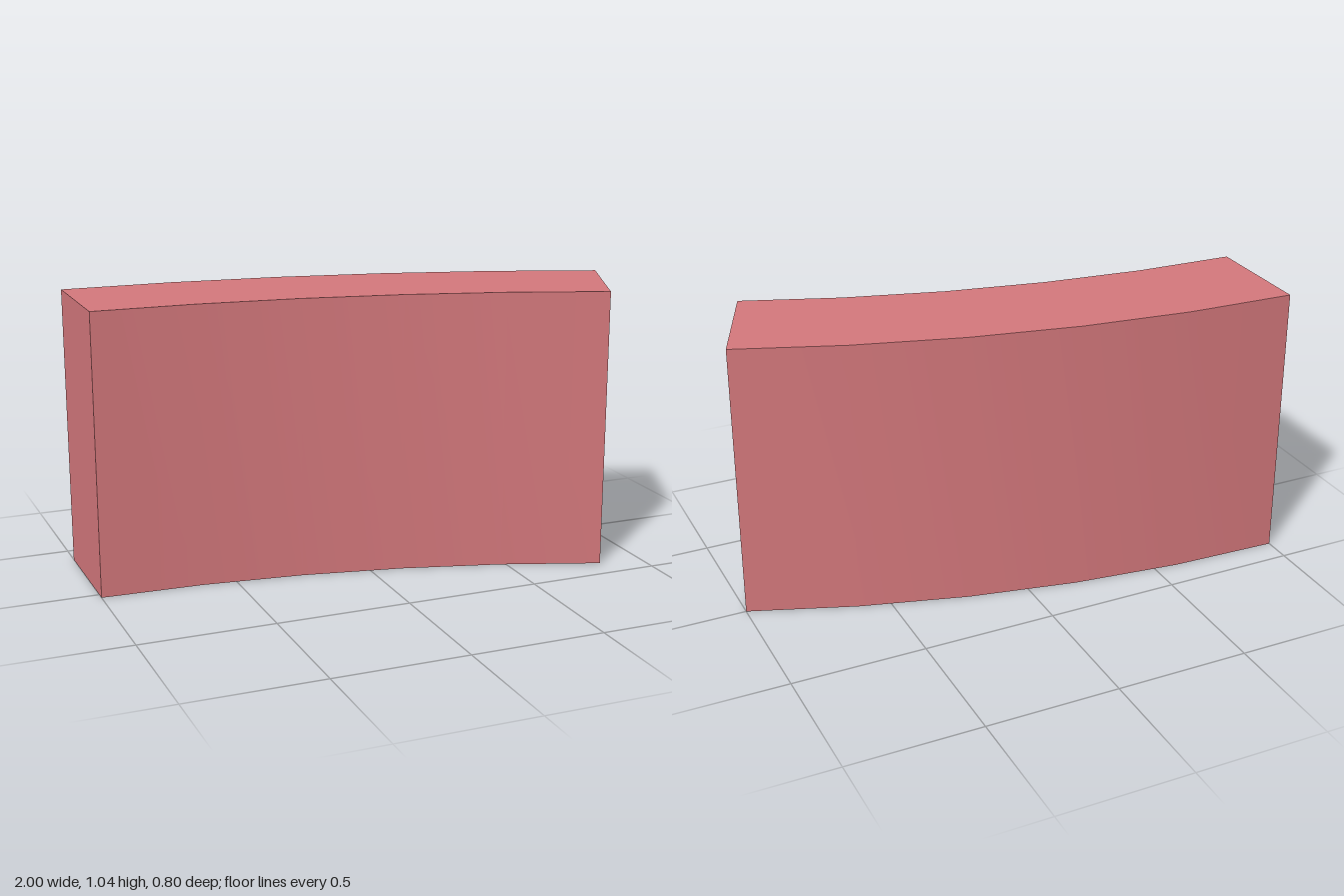
import * as THREE from 'three';
import { toCreasedNormals } from 'three/addons/utils/BufferGeometryUtils.js';

const SWEEP = Math.PI / 8; // a sixteenth of a full ring
const SEGMENTS = 5;
const OUTER = 2 / Math.sin(SWEEP);
const INNER = 4.795;
const HEIGHT = 1.045;
const CENTRE_Z = OUTER * (1 + Math.cos(SWEEP)) / 2 - 0.2 + 0.0011; // ring centre behind the concave face

export function createModel() {
  const group = new THREE.Group();
  group.name = 'curvedBlock';

  // Plan outline: outer arc one way, inner arc back (shape y is -z)
  const points = [];
  const addPoint = (radius, i) => {
    const a = (SWEEP * i) / SEGMENTS;
    points.push(new THREE.Vector2(-1 + radius * Math.sin(a), radius * Math.cos(a) - CENTRE_Z));
  };
  for (let i = 0; i <= SEGMENTS; i++) addPoint(OUTER, i);
  for (let i = SEGMENTS; i >= 0; i--) addPoint(INNER, i);

  // Raise the outline to full height, smooth along the arcs and sharp at the edges
  let geometry = new THREE.ExtrudeGeometry(new THREE.Shape(points), { depth: HEIGHT, bevelEnabled: false });
  geometry.rotateX(-Math.PI / 2);
  geometry.computeBoundingBox();
  const box = geometry.boundingBox;
  geometry.translate(0, 0, -(box.min.z + box.max.z) / 2);
  geometry = toCreasedNormals(geometry, 0.5);

  const block = new THREE.Mesh(geometry, new THREE.MeshStandardMaterial({ color: 0xd4787c }));
  block.name = 'arcWallSegment';
  group.add(block);
  return group;
}
